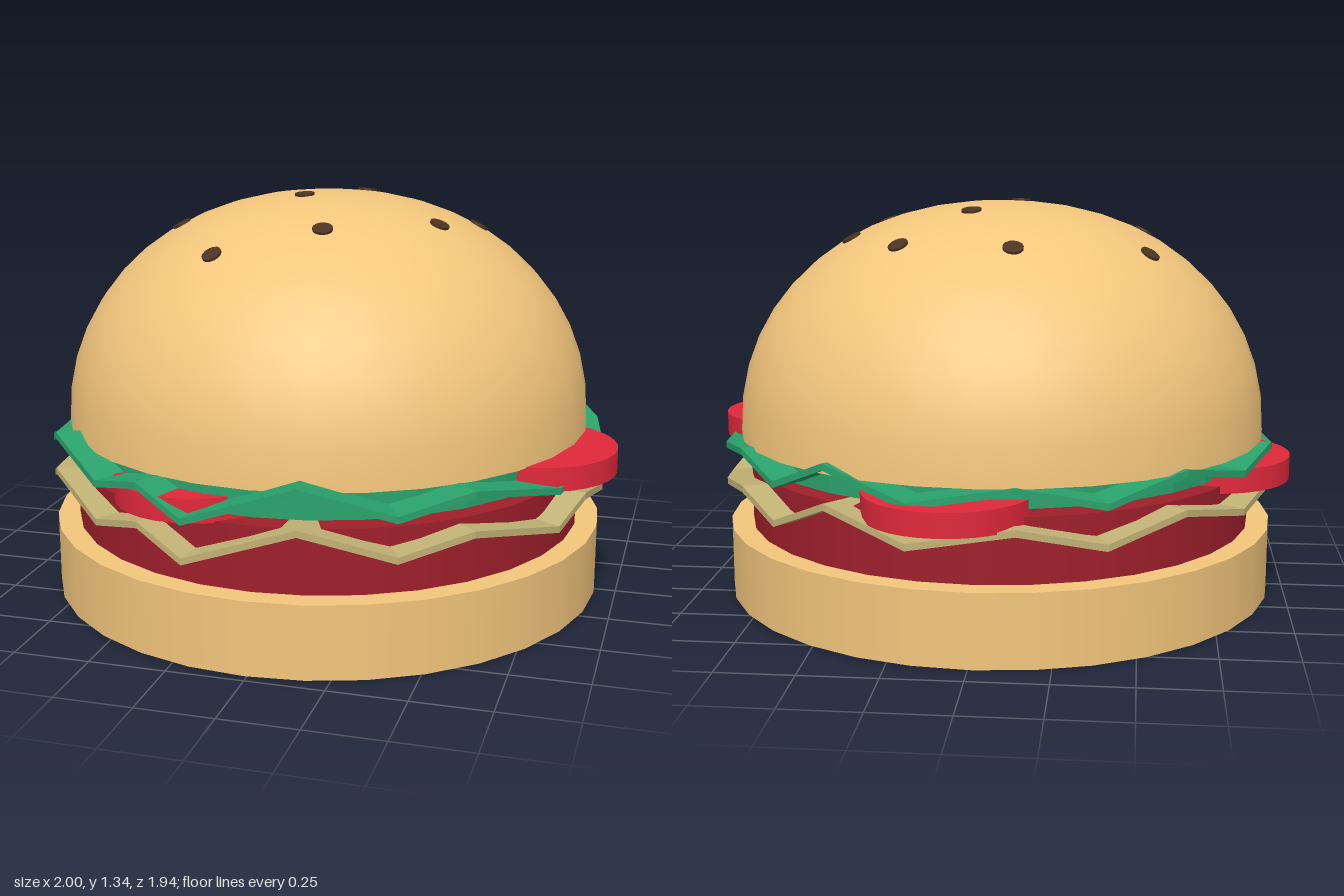
import * as THREE from 'three';

const mat = (color, flat = false) => new THREE.MeshStandardMaterial({ color, flatShading: flat });
const BUN = mat(0xf3c67c), PATTY = mat(0x9e1f2b), TOMATO = mat(0xe0283a);
const CHEESE = mat(0xc2b276, true), LETTUCE = mat(0x2aa36c, true), SEED = mat(0x4d3320);

// Wavy rim: angle in degrees from the front towards +x, height above the sheet's base
const WAVE = [
  [10, 0.065], [28, -0.025], [43, 0.025], [65, -0.04], [76, 0.02], [93, -0.035],
  [109, 0], [124, 0.03], [137, -0.035], [151, 0.06], [168, -0.03], [188, 0.025],
  [205, -0.035], [222, 0.035], [240, -0.02], [256, 0.02], [272, -0.045], [289, -0.03],
  [306, 0.06], [326, -0.015], [338, 0.025], [348, -0.06],
];

// Thin sheet whose waves grow towards the rim
function wavySheet(radius, thickness) {
  const profile = [[0, 0], [0.75, 0], [1, 0], [1, -thickness], [0.75, -thickness], [0, -thickness]];
  const pos = [], index = [], n = profile.length;
  WAVE.forEach(([deg, h], i) => {
    const a = THREE.MathUtils.degToRad(deg), next = (i + 1) % WAVE.length;
    for (const [k, y] of profile) pos.push(Math.sin(a) * k * radius, y + h * k, Math.cos(a) * k * radius);
    for (let j = 0; j < n - 1; j++) {
      const p = i * n + j, q = next * n + j;
      index.push(p, p + 1, q, p + 1, q + 1, q);
    }
  });
  const indexed = new THREE.BufferGeometry();
  indexed.setAttribute('position', new THREE.Float32BufferAttribute(pos, 3));
  indexed.setIndex(index);
  const geo = indexed.toNonIndexed();
  geo.computeVertexNormals();
  return geo;
}

// Rounded crown of the top bun
const CROWN = { x: -0.02, z: -0.015, y: 0.555, r: 0.895, h: 0.775, e: 2.15 };
const crownHeight = (r) => CROWN.h * Math.pow(1 - Math.pow(Math.min(r / CROWN.r, 1), CROWN.e), 1 / CROWN.e);

export function createModel() {
  const model = new THREE.Group();
  const add = (name, geo, material, x, y, z) => {
    const mesh = new THREE.Mesh(geo, material);
    mesh.name = name;
    mesh.position.set(x, y, z);
    model.add(mesh);
    return mesh;
  };
  const disc = (name, material, r, y0, y1, x, z) =>
    add(name, new THREE.CylinderGeometry(r, r, y1 - y0, 32), material, x, (y0 + y1) / 2, z);

  // Lower stack
  disc('bottomBun', BUN, 0.94, 0, 0.24, -0.01, 0.03);
  disc('patty', PATTY, 0.865, 0.24, 0.45, -0.01, 0.03);
  add('cheese', wavySheet(0.95, 0.022), CHEESE, -0.01, 0.41, 0.03);

  // Tomato slices: x, z, bottom height
  [[0.73, 0.18, 0.48], [-0.73, -0.13, 0.425], [-0.255, 0.65, 0.445], [0.08, -0.7, 0.42]]
    .forEach(([x, z, y]) => disc('tomatoSlice', TOMATO, 0.27, y, y + 0.078, x, z));

  // Lettuce: leaf with wavy rim over a packed middle
  disc('lettuceMiddle', LETTUCE, 0.84, 0.468, 0.555, -0.01, 0.03);
  add('lettuceLeaf', wavySheet(0.95, 0.022), LETTUCE, -0.01, 0.535, 0.03);

  // Top bun
  const points = [];
  for (let i = 0; i <= 12; i++) {
    const r = CROWN.r * Math.cos((i / 12) * Math.PI / 2);
    points.push(new THREE.Vector2(i === 12 ? 0 : r, crownHeight(r)));
  }
  add('topBun', new THREE.LatheGeometry(points, 32), BUN, CROWN.x, CROWN.y, CROWN.z);
  add('topBunUnderside', new THREE.CircleGeometry(CROWN.r, 32).rotateX(Math.PI / 2), BUN, CROWN.x, CROWN.y, CROWN.z);

  // Seeds lying on the crown
  const seedGeo = new THREE.CylinderGeometry(0.033, 0.033, 0.008, 14);
  const up = new THREE.Vector3(0, 1, 0);
  [[-0.1, -0.51], [0.27, -0.43], [-0.52, -0.28], [0.06, -0.23], [0.47, -0.16],
    [-0.08, 0.07], [0.39, 0.12], [-0.5, 0.12], [0.07, 0.38], [-0.26, 0.49]].forEach(([x, z]) => {
    const dx = x - CROWN.x, dz = z - CROWN.z, r = Math.hypot(dx, dz);
    const slope = (crownHeight(r - 0.01) - crownHeight(r + 0.01)) / 0.02;
    const normal = new THREE.Vector3(dx / r * slope, 1, dz / r * slope).normalize();
    const seed = add('seed', seedGeo, SEED, x, CROWN.y + crownHeight(r), z);
    seed.quaternion.setFromUnitVectors(up, normal);
    seed.position.addScaledVector(normal, 0.003);
  });

  return model;
}
